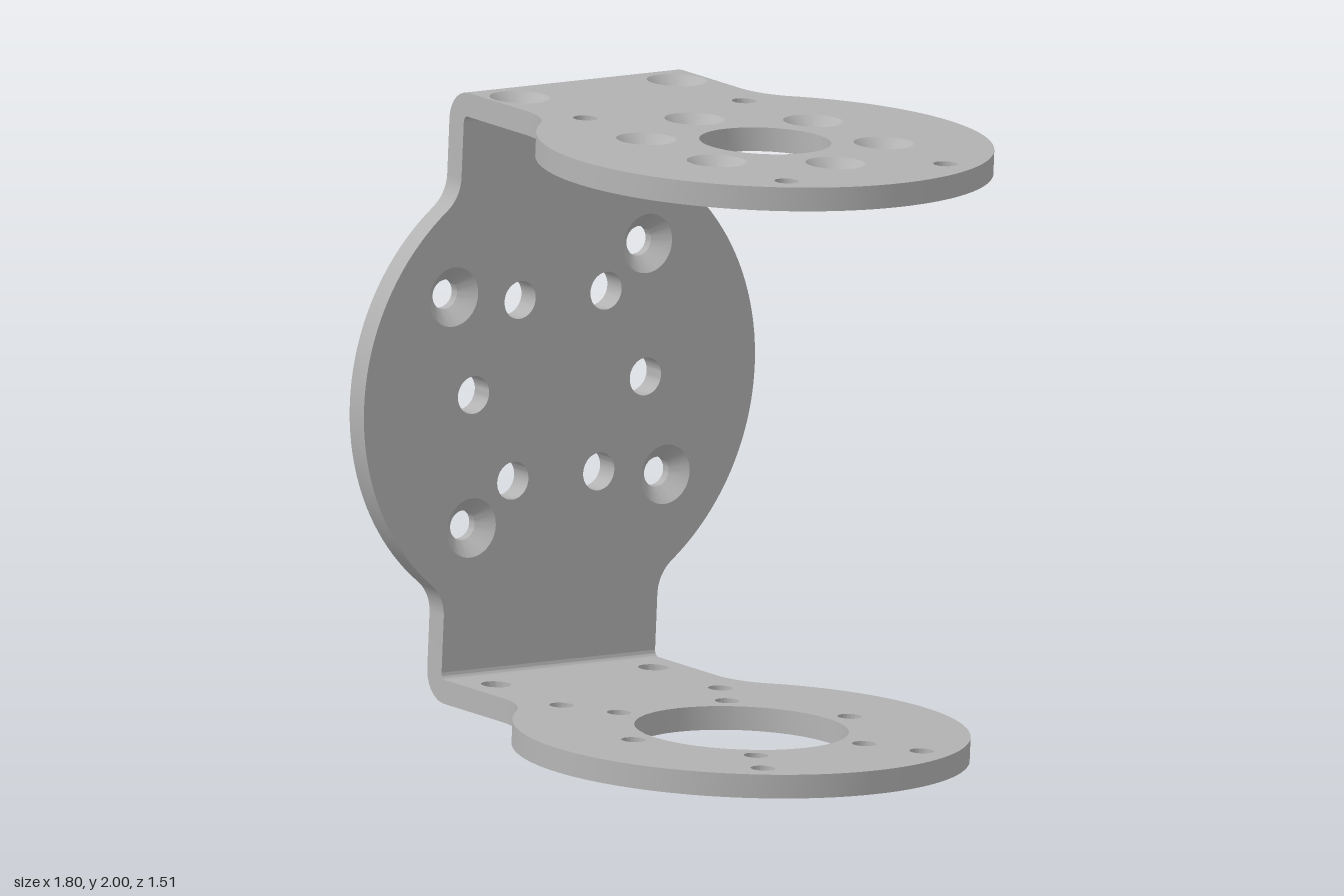
import * as THREE from 'three';
import { mergeGeometries, toCreasedNormals } from 'three/addons/utils/BufferGeometryUtils.js';

const T = 0.075;        // sheet thickness
const W = 0.41;         // half width of the tabs
const H = 0.966;        // half height of the bracket
const BACK = -0.9;      // outer face of the back plate
const BEND = 0.095;     // outer bend radius
const DISC_X = 0.19;    // centre of the round end plates
const SEG = 40;

const V = (x, y) => new THREE.Vector2(x, y);

function arc(cx, cy, r, a0, a1, n) {
  return Array.from({ length: n + 1 }, (_, i) => {
    const a = a0 + (a1 - a0) * i / n;
    return V(cx + r * Math.cos(a), cy + r * Math.sin(a));
  });
}

// Clockwise upper edge of a disc with a filleted tab on the left, or on both sides
function upperEdge(R, fillet, end, twoTabs) {
  const f = Math.sqrt((R + fillet) ** 2 - (W + fillet) ** 2);
  const quarter = [
    V(-end, W),
    ...arc(-f, W + fillet, fillet, -Math.PI / 2, Math.atan2(-(W + fillet), f), 12),
    ...arc(0, 0, R, Math.atan2(W + fillet, -f), Math.PI / 2, 20).slice(1),
  ];
  const rest = twoTabs
    ? quarter.map(p => V(-p.x, p.y)).reverse()
    : arc(0, 0, R, Math.PI / 2, 0, 28);
  return [...quarter, ...rest.slice(1)];
}

// Side wall between z = 0 and z = T
function wall(points) {
  const pos = [];
  for (let i = 0; i + 1 < points.length; i++) {
    const p = points[i], q = points[i + 1];
    pos.push(p.x, p.y, T, q.x, q.y, T, q.x, q.y, 0);
    pos.push(p.x, p.y, T, q.x, q.y, 0, p.x, p.y, 0);
  }
  return new THREE.BufferGeometry().setAttribute('position', new THREE.Float32BufferAttribute(pos, 3));
}

// Flat face with the holes cut to the radius stored under key
function face(outline, holes, key) {
  const shape = new THREE.Shape(outline);
  for (const h of holes) {
    shape.holes.push(new THREE.Path(arc(h.x, h.y, h[key], 0, Math.PI * 2, SEG).slice(0, -1)));
  }
  return new THREE.ShapeGeometry(shape);
}

// Drilled plate; countersinks open on the z = T face
function plateGeometry(upper, holes) {
  const lower = upper.map(p => V(p.x, -p.y)).reverse();
  const outline = [...upper, ...lower].filter((p, i, all) => i === 0 || p.distanceTo(all[i - 1]) > 1e-6);
  const front = face(outline, holes, 'top').translate(0, 0, T);
  const rear = face(outline, holes, 'r');
  rear.index.array.reverse();
  const bores = holes.map(h => {
    const profile = [V(h.r, 0)];
    if (h.top > h.r) profile.unshift(V(h.top, T), V(h.r, T - (h.top - h.r)));
    else profile.unshift(V(h.r, T));
    return new THREE.LatheGeometry(profile, SEG).rotateX(Math.PI / 2).translate(h.x, h.y, 0);
  });
  const parts = [front, rear, wall(upper), wall(lower), ...bores].map(g => {
    const flat = g.index ? g.toNonIndexed() : g;
    flat.deleteAttribute('uv');
    flat.deleteAttribute('normal');
    return flat;
  });
  return toCreasedNormals(mergeGeometries(parts), 0.5);
}

// Holes
const drill = (x, y, r) => ({ x, y, r, top: r });
const sink = (x, y) => ({ x, y, r: 0.047, top: 0.094 });
const ring = (n, radius, startDeg, make) => Array.from({ length: n }, (_, i) => {
  const a = THREE.MathUtils.degToRad(startDeg + i * 360 / n);
  return make(radius * Math.cos(a), radius * Math.sin(a));
});

export function createModel() {
  const metal = new THREE.MeshStandardMaterial({ color: 0xb2b2b2 });
  metal.name = 'grey metal';

  const bracket = new THREE.Group();
  bracket.name = 'bracket';
  const add = (name, geometry) => {
    const mesh = new THREE.Mesh(geometry, metal);
    mesh.name = name;
    bracket.add(mesh);
    return mesh;
  };

  // Round end plates
  const endEdge = upperEdge(0.71, 0.235, DISC_X - BACK - BEND, false);
  const shared = [];
  for (const s of [-1, 1]) {
    shared.push(sink(-0.875, s * 0.302));
    for (const t of [-1, 1]) shared.push(drill(t * 0.528, s * 0.305, 0.038));
  }
  const topPlate = plateGeometry(endEdge, [
    ...shared, drill(0, 0, 0.205), ...ring(6, 0.37, 0, sink),
  ]);
  const bottomPlate = plateGeometry(endEdge, [
    ...shared, drill(0, 0, 0.333), ...ring(6, 0.415, 30, (x, y) => drill(x, y, 0.038)),
  ]);
  add('topPlate', topPlate.rotateX(-Math.PI / 2).translate(DISC_X, H - T, 0));
  add('bottomPlate', bottomPlate.rotateX(Math.PI / 2).translate(DISC_X, T - H, 0));

  // Back plate, its tabs running up and down
  const backPlate = plateGeometry(upperEdge(0.75, 0.13, H - BEND, true), [
    ...ring(4, 0.528, 53, sink),
    ...ring(6, 0.33, 30, (x, y) => drill(x, y, 0.06)),
  ]);
  backPlate.applyMatrix4(new THREE.Matrix4().makeBasis(
    new THREE.Vector3(0, 1, 0), new THREE.Vector3(0, 0, 1), new THREE.Vector3(1, 0, 0)));
  add('backPlate', backPlate.translate(BACK, 0, 0));

  // Rounded bends joining the plates
  const quarterRing = new THREE.Shape([
    ...arc(0, 0, BEND, Math.PI / 2, Math.PI, 10),
    ...arc(0, 0, BEND - T, Math.PI, Math.PI / 2, 10),
  ]);
  const bend = toCreasedNormals(
    new THREE.ExtrudeGeometry(quarterRing, { depth: 2 * W, bevelEnabled: false }), 0.5)
    .translate(BACK + BEND, H - BEND, -W);
  add('topBend', bend);
  add('bottomBend', bend.clone().rotateX(Math.PI));

  // Slight backward lean
  bracket.rotation.x = -0.049;
  bracket.position.y = 1;

  const model = new THREE.Group();
  model.name = 'mountingBracket';
  model.add(bracket);
  return model;
}
